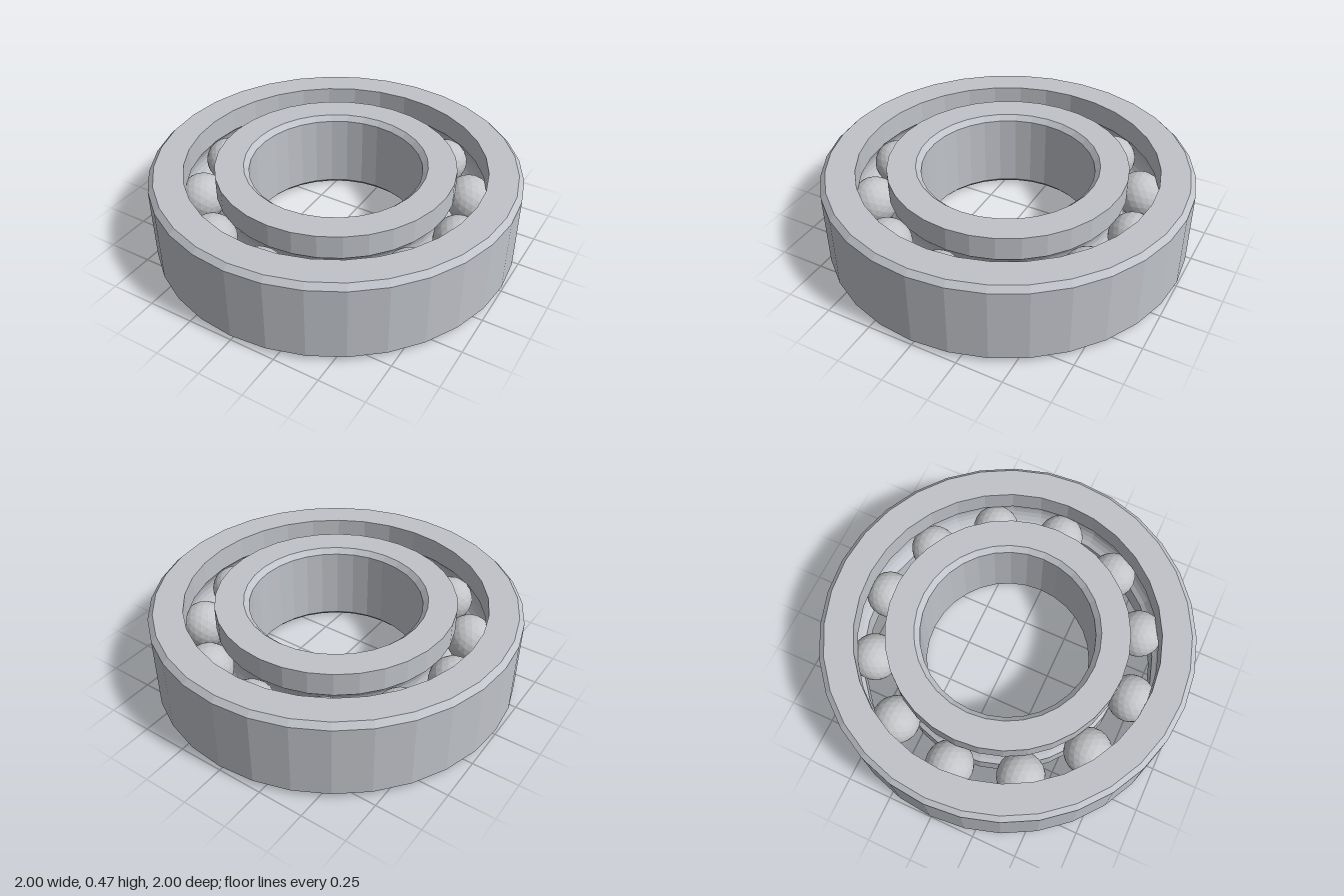
import * as THREE from 'three';

const SEGMENTS = 32;
const HEIGHT = 0.47;
const MID = HEIGHT / 2;
const PITCH = 0.733; // radius of the circle the balls run on
const BALL = 0.13;
const BALLS = 12;
const CHAMFER = 0.028;

// Arc-shaped raceway cut into a wall, side = 1 for the outer ring, -1 for the inner
function groove(wall, side, steps = 8) {
  const radius = BALL + 0.003;
  const half = Math.acos(Math.abs(wall - PITCH) / radius);
  const points = [];
  for (let i = 0; i <= steps; i++) {
    const a = half * (1 - (2 * i) / steps);
    points.push([PITCH + side * radius * Math.cos(a), MID + side * radius * Math.sin(a)]);
  }
  return points;
}

function ring(name, profile, material) {
  const points = profile.map(([r, y]) => new THREE.Vector2(r, y));
  const mesh = new THREE.Mesh(new THREE.LatheGeometry(points, SEGMENTS), material);
  mesh.name = name;
  return mesh;
}

export function createModel() {
  const steel = new THREE.MeshStandardMaterial({ color: 0xc0c3c9 });
  steel.name = 'ring steel';
  steel.flatShading = true;
  const polished = new THREE.MeshStandardMaterial({ color: 0xc4c5c8 });
  polished.name = 'ball steel';
  polished.flatShading = true;

  const group = new THREE.Group();
  group.name = 'ballBearing';

  // Outer ring: chamfered outside, raceway on its inner wall
  const outerWall = 0.815;
  group.add(ring('outerRing', [
    [outerWall, 0], [1 - CHAMFER, 0], [1, CHAMFER],
    [1, HEIGHT - CHAMFER], [1 - CHAMFER, HEIGHT], [outerWall, HEIGHT],
    ...groove(outerWall, 1), [outerWall, 0],
  ], steel));

  // Inner ring: raceway on its outer wall, chamfered bore
  const innerWall = 0.65;
  const bore = 0.468;
  group.add(ring('innerRing', [
    [bore + CHAMFER, 0], [innerWall, 0],
    ...groove(innerWall, -1),
    [innerWall, HEIGHT], [bore + CHAMFER, HEIGHT],
    [bore, HEIGHT - CHAMFER], [bore, CHAMFER], [bore + CHAMFER, 0],
  ], steel));

  // Balls, evenly spaced between the raceways
  const balls = new THREE.Group();
  balls.name = 'balls';
  const ballGeometry = new THREE.IcosahedronGeometry(BALL, 3);
  for (let i = 0; i < BALLS; i++) {
    const a = (i / BALLS) * Math.PI * 2;
    const ball = new THREE.Mesh(ballGeometry, polished);
    ball.name = 'ball';
    ball.position.set(Math.cos(a) * PITCH, MID, Math.sin(a) * PITCH);
    balls.add(ball);
  }
  group.add(balls);

  return group;
}
